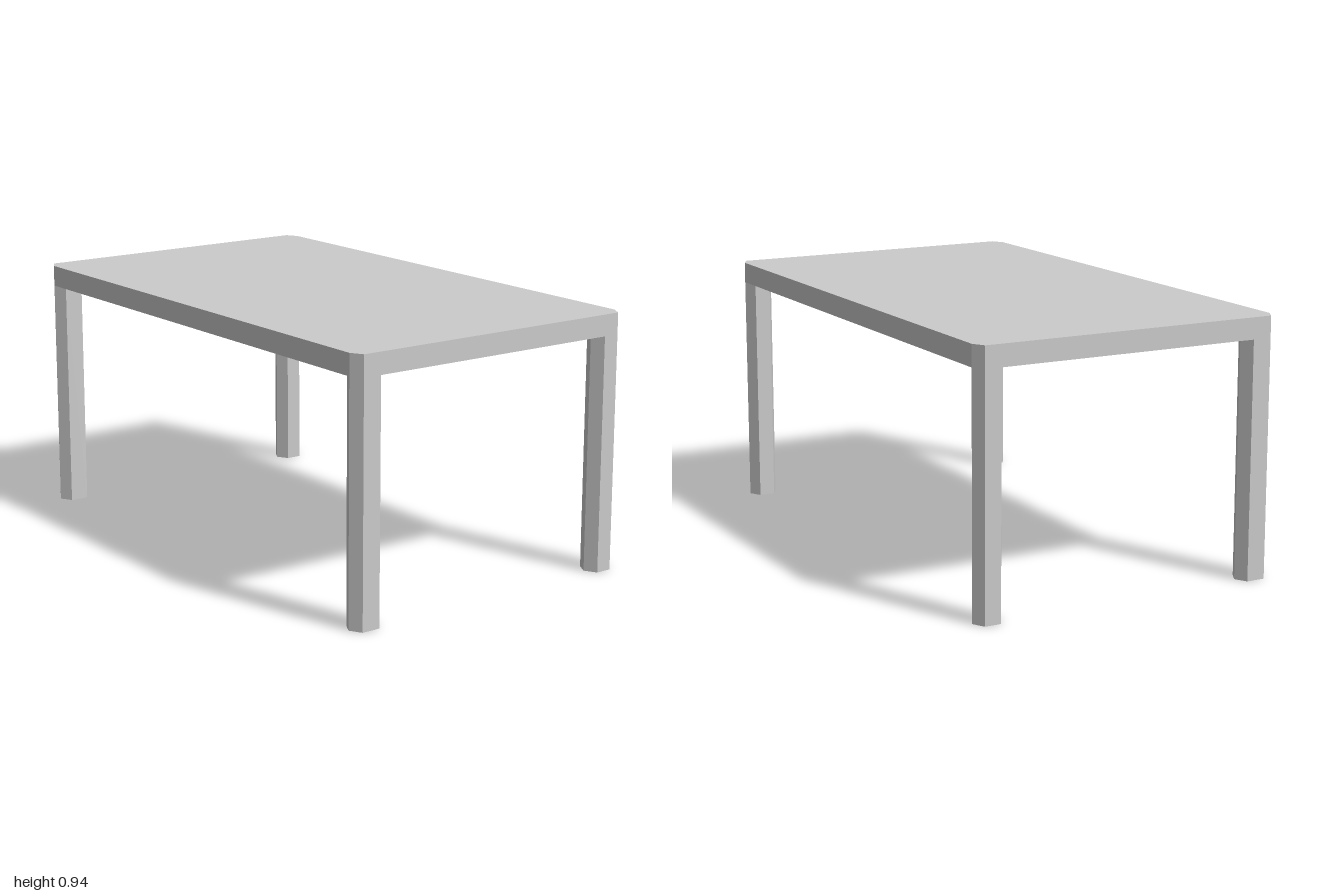
import * as THREE from 'three';

const material = new THREE.MeshStandardMaterial({ color: 0xcccccc, flatShading: true });

// Upright prism from a plan outline of [x, z] points
function prism(name, outline, bottom, top) {
  const shape = new THREE.Shape(outline.map(([x, z]) => new THREE.Vector2(x, -z)));
  const geometry = new THREE.ExtrudeGeometry(shape, { depth: top - bottom, bevelEnabled: false });
  geometry.rotateX(-Math.PI / 2).translate(0, bottom, 0);
  const mesh = new THREE.Mesh(geometry, material);
  mesh.name = name;
  return mesh;
}

export function createModel() {
  const table = new THREE.Group();
  table.name = 'table';
  const halfX = 1, halfZ = 0.585, height = 0.945, underside = 0.867;
  const cutX = 0.045, cutZ = 0.025;

  // Top slab with clipped corners
  const x = halfX - cutX, z = halfZ - cutZ;
  table.add(prism('tableTop', [
    [halfX, -z], [halfX, z], [x, halfZ], [-x, halfZ],
    [-halfX, z], [-halfX, -z], [-x, -halfZ], [x, -halfZ],
  ], underside, height));

  // Six-sided legs, flush with the clipped corners
  for (const [end, sz, depth] of [['front', 1, 0.12], ['back', -1, 0.11]]) {
    for (const [side, sx] of [['Left', 1], ['Right', -1]]) {
      const inner = halfZ - depth;
      const outline = [
        [halfX, z], [x, halfZ], [x - cutX, z],
        [x - cutX, inner + cutZ], [x, inner], [halfX, inner + cutZ],
      ].map(([px, pz]) => [px * sx, pz * sz]);
      table.add(prism(`${end}${side}Leg`, outline, 0, underside));
    }
  }
  return table;
}
